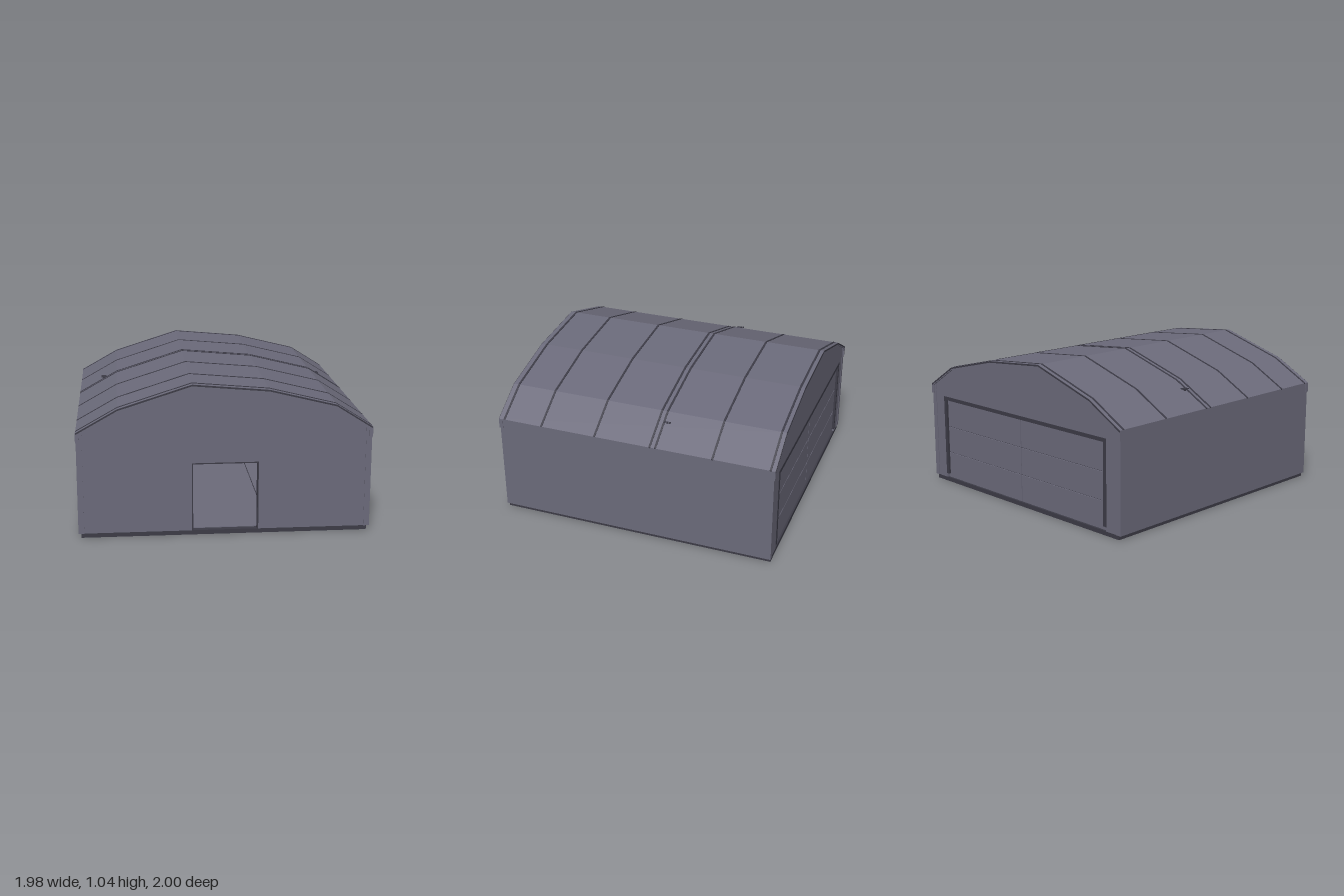
import * as THREE from 'three';

const mat = (name, color) => {
  const m = new THREE.MeshStandardMaterial({ color });
  m.name = name;
  return m;
};

export function createModel() {
  const model = new THREE.Group();
  model.name = 'hangar';
  const panel = mat('wallGrey', 0x6b6a7a);
  const dark = mat('darkTrim', 0x3c3b46);
  const purple = mat('innerPurple', 0x9080b5);

  const add = (name, geo, material, parent = model) => {
    const m = new THREE.Mesh(geo, material);
    m.name = name;
    parent.add(m);
    return m;
  };
  // Box given by its extents on each axis
  const box = (name, material, [x0, x1], [y0, y1], [z0, z1], parent) => {
    const m = add(name, new THREE.BoxGeometry(x1 - x0, y1 - y0, z1 - z0), material, parent);
    m.position.set((x0 + x1) / 2, (y0 + y1) / 2, (z0 + z1) / 2);
    return m;
  };
  const extrude = (pts, z0, z1) =>
    new THREE.ExtrudeGeometry(new THREE.Shape(pts.map(p => new THREE.Vector2(...p))),
      { depth: z1 - z0, bevelEnabled: false }).translate(0, 0, z0);

  // Lopsided faceted roof line
  const roofLine = [[-0.985, 0.73], [-0.71, 0.885], [-0.22, 1.04], [0.29, 0.995], [0.74, 0.885], [0.985, 0.73]];
  const band = (top, bottom, z0, z1) => extrude([
    ...roofLine.map(([x, y]) => [x, y + bottom]),
    ...roofLine.map(([x, y]) => [x, y + top]).reverse()], z0, z1);

  // Base and floor
  box('base', dark, [-0.965, 0.965], [0, 0.03], [-0.985, 0.985]);
  box('floor', panel, [-0.945, 0.945], [0.03, 0.034], [-0.94, 0.945]);
  for (const x of [-0.3, 0.3]) box('floorSeam', dark, [x - 0.003, x + 0.003], [0.034, 0.0355], [-0.93, 0.94]);

  // Side walls with corner caps below the eaves
  for (const s of [-1, 1]) {
    const wall = new THREE.Group();
    wall.name = s > 0 ? 'leftWall' : 'rightWall';
    model.add(wall);
    const span = (a, b) => s > 0 ? [a, b] : [-b, -a];
    box('sidePanel', panel, span(0.945, 0.984), [0.03, 0.728], [-0.991, 0.991], wall);
    for (const z of [[-0.998, -0.97], [0.97, 0.998]])
      box('cornerCap', panel, span(0.965, 0.988), [0.66, 0.729], z, wall);
  }

  // End walls, each notched by a doorway
  const endWall = (half, top, z0, z1) => extrude([
    [-0.964, 0.03], [-half, 0.03], [-half, top], [half, top], [half, 0.03], [0.964, 0.03],
    [0.964, 0.73], ...roofLine.slice(1, -1).map(([x, y]) => [x, y - 0.01]).reverse(), [-0.964, 0.73]], z0, z1);
  add('frontWall', endWall(0.222, 0.5, 0.947, 0.987), panel);
  add('backWall', endWall(0.85, 0.65, -0.987, -0.947), panel);

  // Trim lining a doorway
  const doorFrame = (name, half, top, w, bottom, z) => {
    const g = new THREE.Group();
    g.name = name;
    model.add(g);
    box('jamb', dark, [-half, -half + w], [bottom, top], z, g);
    box('jamb', dark, [half - w, half], [bottom, top], z, g);
    box('lintel', dark, [-half, half], [top - w, top], z, g);
  };
  doorFrame('frontDoorFrame', 0.224, 0.502, 0.008, 0.03, [0.946, 0.988]);
  doorFrame('backDoorFrame', 0.852, 0.652, 0.026, 0.06, [-0.99, -0.946]);

  // Two-leaf back door: grey panels outside, purple panels inside
  const door = new THREE.Group();
  door.name = 'backDoor';
  model.add(door);
  box('doorCore', dark, [-0.848, 0.848], [0.03, 0.648], [-0.966, -0.95], door);
  const rows = [[0.032, 0.223], [0.229, 0.42], [0.426, 0.63]];
  for (const cols of [[-0.84, -0.003], [0.003, 0.84]])
    for (const row of rows) {
      box('outerPanel', panel, cols, row, [-0.974, -0.965], door);
      box('innerPanel', purple, cols, row, [-0.951, -0.942], door);
    }
  for (const y of [0.232, 0.433]) {
    box('crossRail', panel, [-0.83, 0.83], [y - 0.008, y + 0.008], [-0.943, -0.93], door);
    box('railShadowLine', dark, [-0.83, 0.83], [y - 0.002, y + 0.002], [-0.931, -0.929], door);
  }
  box('centrePost', dark, [-0.045, 0.045], [0.034, 0.63], [-0.943, -0.925], door);
  box('postFace', panel, [-0.025, 0.025], [0.034, 0.63], [-0.926, -0.918], door);
  box('postLatch', dark, [-0.03, 0.03], [0.07, 0.11], [-0.92, -0.91], door);
  box('postHandle', panel, [-0.015, 0.015], [0.11, 0.145], [-0.92, -0.908], door);

  // Lock plate with padlock sign
  const lock = new THREE.Group();
  lock.name = 'lockPlate';
  model.add(lock);
  box('plate', dark, [-0.093, 0.093], [0.236, 0.44], [-0.925, -0.9], lock);
  box('lockBody', panel, [-0.042, 0.042], [0.272, 0.35], [-0.901, -0.896], lock);
  for (const x of [[-0.036, -0.022], [0.022, 0.036]])
    box('shackleSide', panel, x, [0.35, 0.39], [-0.901, -0.896], lock);
  box('shackleTop', panel, [-0.036, 0.036], [0.376, 0.39], [-0.901, -0.896], lock);
  const hole = add('keyhole', new THREE.CircleGeometry(0.012, 12), dark, lock);
  hole.position.set(0, 0.317, -0.895);
  box('keyholeSlot', dark, [-0.005, 0.005], [0.288, 0.315], [-0.897, -0.895], lock);

  // Roof shell, seams across it, and rims on the end edges
  add('roof', band(0, -0.02, -0.997, 0.997), panel);
  for (const z of [-0.965, -0.568, -0.167, -0.127, 0.275, 0.673, 0.956])
    add('roofSeam', band(0.003, -0.005, z - 0.007, z + 0.007), dark);
  for (const z of [-0.998, 0.998])
    add('roofRim', band(-0.001, -0.012, z - 0.002, z + 0.002), dark);

  // Small vents low on both roof slopes
  for (const s of [-1, 1]) {
    const vent = new THREE.Group();
    vent.name = 'roofVent';
    vent.position.set(s * 0.805, 0.838, -0.19);
    model.add(vent);
    box('ventStem', dark, [-0.008, 0.008], [-0.02, 0], [-0.008, 0.008], vent);
    for (const z of [-0.018, 0, 0.018])
      box('ventSlat', dark, [-0.018, 0.018], [0, 0.007], [z - 0.005, z + 0.005], vent);
    box('ventSpine', dark, [-0.005, 0.005], [0, 0.005], [-0.022, 0.03], vent);
  }
  return model;
}
